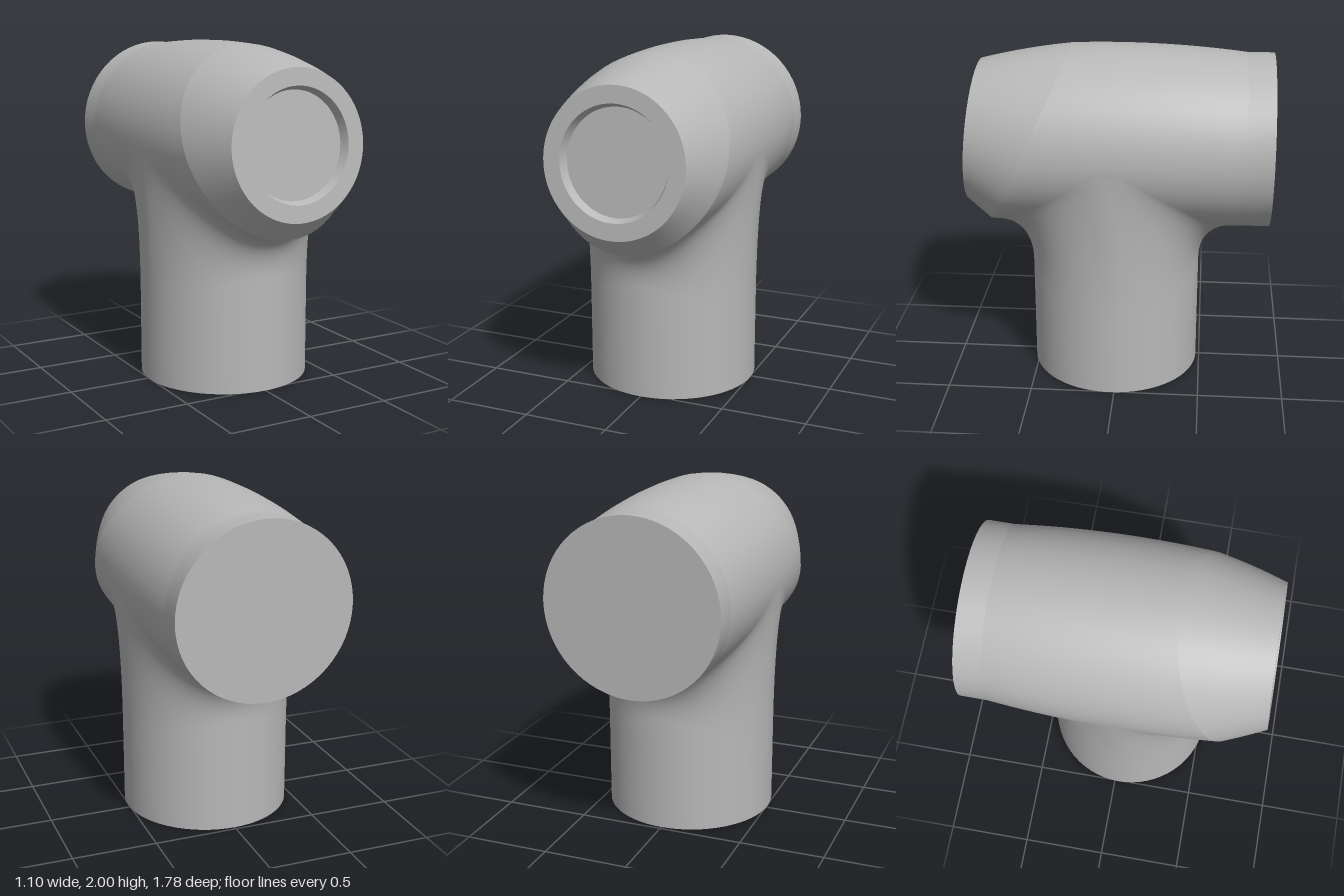
import * as THREE from 'three';

const SEG = 64;
const MID = 1.45; // height of the barrel axis
const LOW = 0.505; // barrel radius below the axis

// Closed band of rings: point(s, angle) gives [x, y, z], s runs 0..1
function band(point, rows) {
  const pos = [], index = [];
  for (let j = 0; j <= rows; j++)
    for (let i = 0; i < SEG; i++) pos.push(...point(j / rows, (i / SEG) * Math.PI * 2));
  for (let j = 0; j < rows; j++)
    for (let i = 0; i < SEG; i++) {
      const n = (i + 1) % SEG;
      const a = j * SEG + i, b = j * SEG + n, c = a + SEG, d = b + SEG;
      index.push(a, b, c, b, d, c);
    }
  const geo = new THREE.BufferGeometry();
  geo.setAttribute('position', new THREE.Float32BufferAttribute(pos, 3));
  geo.setIndex(index);
  geo.computeVertexNormals();
  return geo;
}

const lerp = THREE.MathUtils.lerp;
const halfWidth = (z) => 0.55 - 0.075 * z * z;

// Bulging barrel surface at an angle and depth
function barrelPoint(a, z) {
  const up = Math.sin(a) > 0 ? 0.55 - 0.08 * z * z : LOW;
  return [halfWidth(z) * Math.cos(a), MID + up * Math.sin(a), z];
}

// Slanted line where the barrel turns into the nose
function noseStart(a) {
  const y = MID + (Math.sin(a) > 0 ? 0.54 : LOW) * Math.sin(a);
  return barrelPoint(a, 0.77 - 0.47 * (y - 0.945));
}

// Points on the tilted front face, at radius r and depth d
function facePoint(r, d, a) {
  const t = 0.084, v = r * Math.sin(a);
  return [r * Math.cos(a), 1.4775 + v - d * t, 0.855 - v * t - d];
}

function nosePoint(s, a) {
  const p = noseStart(a), q = facePoint(0.418, 0, a);
  const bulge = 0.02 * s * (1 - s) * (1 + Math.sin(a));
  return [
    lerp(p[0], q[0], s) + bulge * Math.cos(a),
    lerp(p[1], q[1], s) + bulge * Math.sin(a),
    lerp(p[2], q[2], s),
  ];
}

// Stem: straight pipe that flares along a curve tangent to the barrel
const STEM_R = 0.505, STEM_Z = 0.025;
function stemPoint(s, a) {
  const c = Math.cos(a), n = -Math.sin(a);
  const x0 = STEM_R * c, z0 = STEM_Z + STEM_R * n;
  const y0 = 0.68 - 0.2 * c * c;
  if (s < 0.2) return [x0, y0 * s * 5, z0];
  const t = (s - 0.2) / 0.8;
  const z2 = 0.02 + 0.75 * n, w = halfWidth(z2);
  const x2 = w * c, y2 = MID - LOW * Math.abs(n);
  const slope = (LOW / w) * Math.abs(c) / Math.max(Math.abs(n), 1e-4);
  const y1 = Math.max(y2 - slope * Math.abs(x2 - x0), y0 + 0.35 * (y2 - y0));
  const k0 = (1 - t) * (1 - t), k1 = 2 * t * (1 - t), k2 = t * t;
  return [
    (k0 + k1) * x0 + k2 * x2,
    k0 * y0 + k1 * y1 + k2 * y2,
    (k0 + k1) * z0 + k2 * z2,
  ];
}

export function createModel() {
  const group = new THREE.Group();
  const grey = new THREE.MeshStandardMaterial({ color: 0xb8b8b8 });
  grey.name = 'grey';
  const add = (name, point, rows = 1) => {
    const mesh = new THREE.Mesh(band(point, rows), grey);
    mesh.name = name;
    group.add(mesh);
  };

  // Barrel, rear collar and nose
  const back = -0.73, end = -0.885;
  add('barrel', (s, a) => barrelPoint(a, lerp(back, noseStart(a)[2], s)), 20);
  const collar = (a, z, k = 1) => {
    const p = barrelPoint(a, back);
    return [p[0] * k, MID + (p[1] - MID) * k, z];
  };
  add('rearCollar', (s, a) => collar(a, lerp(end, back, s)));
  add('rearCap', (s, a) => collar(a, end, s));
  add('nose', nosePoint, 8);

  // Front rim with a shallow round recess
  add('frontRim', (s, a) => facePoint(lerp(0.418, 0.32, s), 0, a));
  add('recessWall', (s, a) => facePoint(lerp(0.32, 0.3, s), 0.05 * s, a));
  add('recessFloor', (s, a) => facePoint(0.3 * (1 - s), 0.05, a));

  // Stem and its base
  add('stem', stemPoint, 25);
  add('stemBase', (s, a) => [s * STEM_R * Math.cos(a), 0, STEM_Z - s * STEM_R * Math.sin(a)]);

  return group;
}
